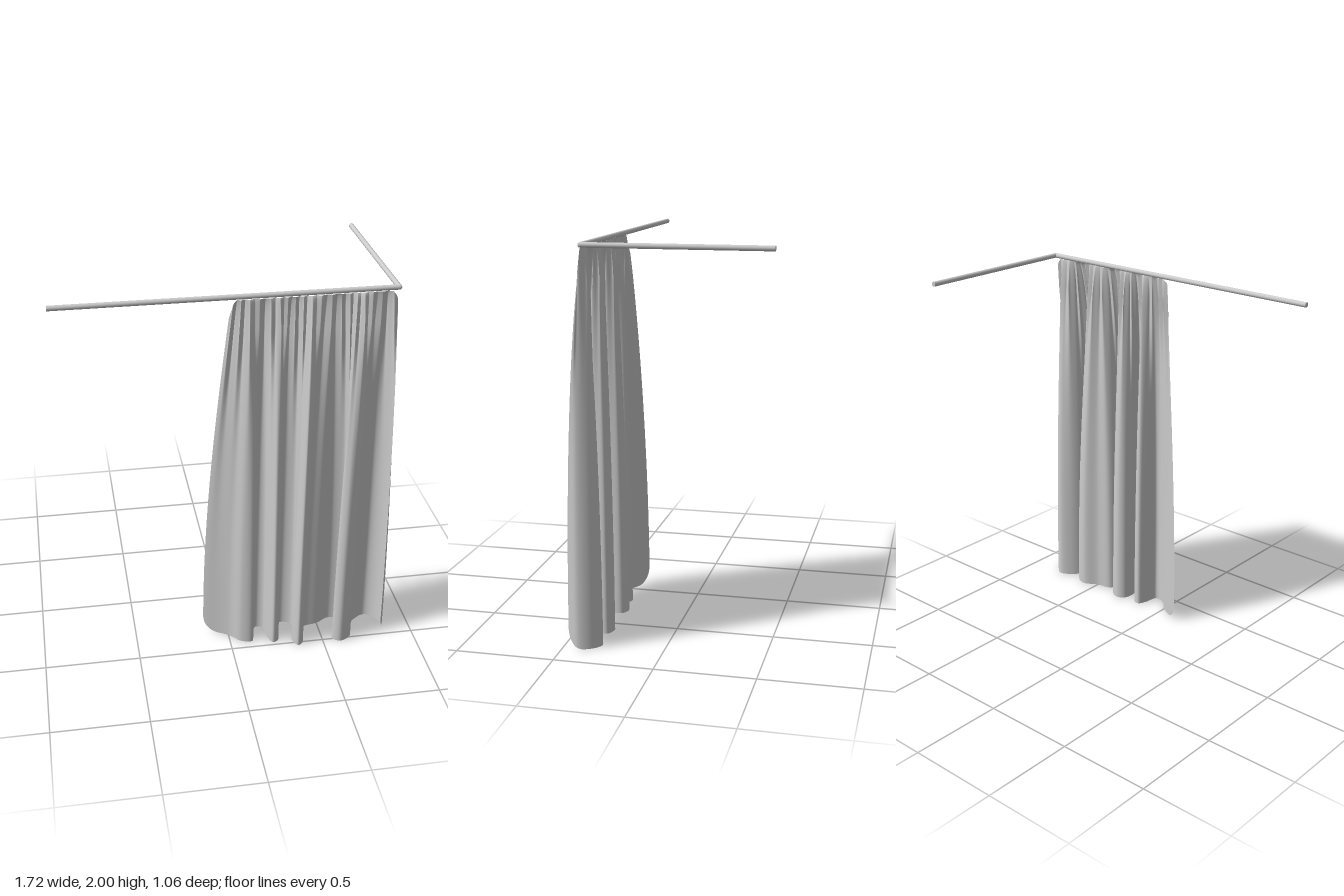
import * as THREE from 'three';

const ROD_Y = 1.987, ROD_Z = 0.374, ROD_X = 0.823, ROD_R = 0.013;

// Fold line of the cloth at the hem, as [x, z], from right end to left end
const HEM = [
  [-0.13, 0.31], [0, 0.38], [0.06, 0.44], [0.12, 0.45], [0.135, 0.38], [0.16, 0.33], [0.2, 0.345],
  [0.205, 0.42], [0.23, 0.48], [0.262, 0.46], [0.255, 0.38], [0.27, 0.33], [0.31, 0.31], [0.36, 0.335],
  [0.36, 0.39], [0.335, 0.47], [0.36, 0.525], [0.39, 0.5], [0.392, 0.42], [0.42, 0.37], [0.5, 0.35],
  [0.58, 0.31], [0.64, 0.335], [0.62, 0.41], [0.555, 0.49], [0.59, 0.525], [0.655, 0.49], [0.675, 0.4],
  [0.72, 0.345], [0.78, 0.315], [0.83, 0.35], [0.855, 0.42], [0.83, 0.475],
];

// Round corner: 1 at the very edge, 0 once past the corner
function corner(u, width) {
  const d = Math.min(u, 1 - u) / width;
  return d >= 1 ? 0 : 1 - Math.sqrt(1 - (1 - d) ** 2);
}

function curtainGeometry(cols = 420, rows = 48) {
  const curve = new THREE.CatmullRomCurve3(HEM.map(([x, z]) => new THREE.Vector3(x, 0, z)), false, 'centripetal');
  curve.arcLengthDivisions = 1000;
  const hem = curve.getSpacedPoints(cols);
  const geo = new THREE.PlaneGeometry(1, 1, cols, rows);
  const pos = geo.attributes.position;
  for (let j = 0; j <= rows; j++) {
    for (let i = 0; i <= cols; i++) {
      const u = i / cols, v = (j / rows) ** 1.5;
      const c = corner(u, 0.04);
      const y = THREE.MathUtils.lerp(1.972 - 0.1 * c, 0.09 * c, v);
      const t = 1 - y / 1.972;
      const wave = Math.sin(Math.max(t, 0) * Math.PI / 2);
      const spread = wave ** 0.62;
      // small gathers near the rod that melt into the large folds
      const gather = Math.min(1, 0.25 + t * 9) * Math.exp(-t * 4.5);
      const phase = u * Math.PI * 2 * 19 + 1.3 * Math.sin(u * 17);
      const topX = 0.005 + 0.815 * u + 0.006 * gather * Math.sin(phase * 2);
      const topZ = ROD_Z + 0.006;
      pos.setXYZ(j * (cols + 1) + i,
        THREE.MathUtils.lerp(topX, hem[i].x, wave),
        y,
        THREE.MathUtils.lerp(topZ, hem[i].z, spread) + 0.016 * gather * Math.sin(phase));
    }
  }
  geo.computeVertexNormals();
  return geo;
}

export function createModel() {
  const group = new THREE.Group();
  const cloth = new THREE.MeshStandardMaterial({ color: 0xcccccc, side: THREE.DoubleSide });
  cloth.name = 'light grey cloth';
  const metal = new THREE.MeshStandardMaterial({ color: 0xcccccc });
  metal.name = 'light grey rod';

  const add = (name, geo, mat, x = 0, y = 0, z = 0) => {
    const mesh = new THREE.Mesh(geo, mat);
    mesh.name = name;
    mesh.position.set(x, y, z);
    group.add(mesh);
    return mesh;
  };

  // Long front rod
  const x0 = -0.86, frontLength = ROD_X - x0;
  add('frontRod', new THREE.CylinderGeometry(ROD_R, ROD_R, frontLength, 20), metal,
    (x0 + ROD_X) / 2, ROD_Y, ROD_Z).rotation.z = Math.PI / 2;

  // Shorter rod running back from the corner
  const z0 = -0.535;
  add('sideRod', new THREE.CylinderGeometry(ROD_R, ROD_R, ROD_Z - z0, 20), metal,
    ROD_X, ROD_Y, (ROD_Z + z0) / 2).rotation.x = Math.PI / 2;

  // Corner joint
  add('rodCorner', new THREE.SphereGeometry(ROD_R, 20, 12), metal, ROD_X, ROD_Y, ROD_Z);

  // Draped cloth
  add('curtain', curtainGeometry(), cloth);
  return group;
}
